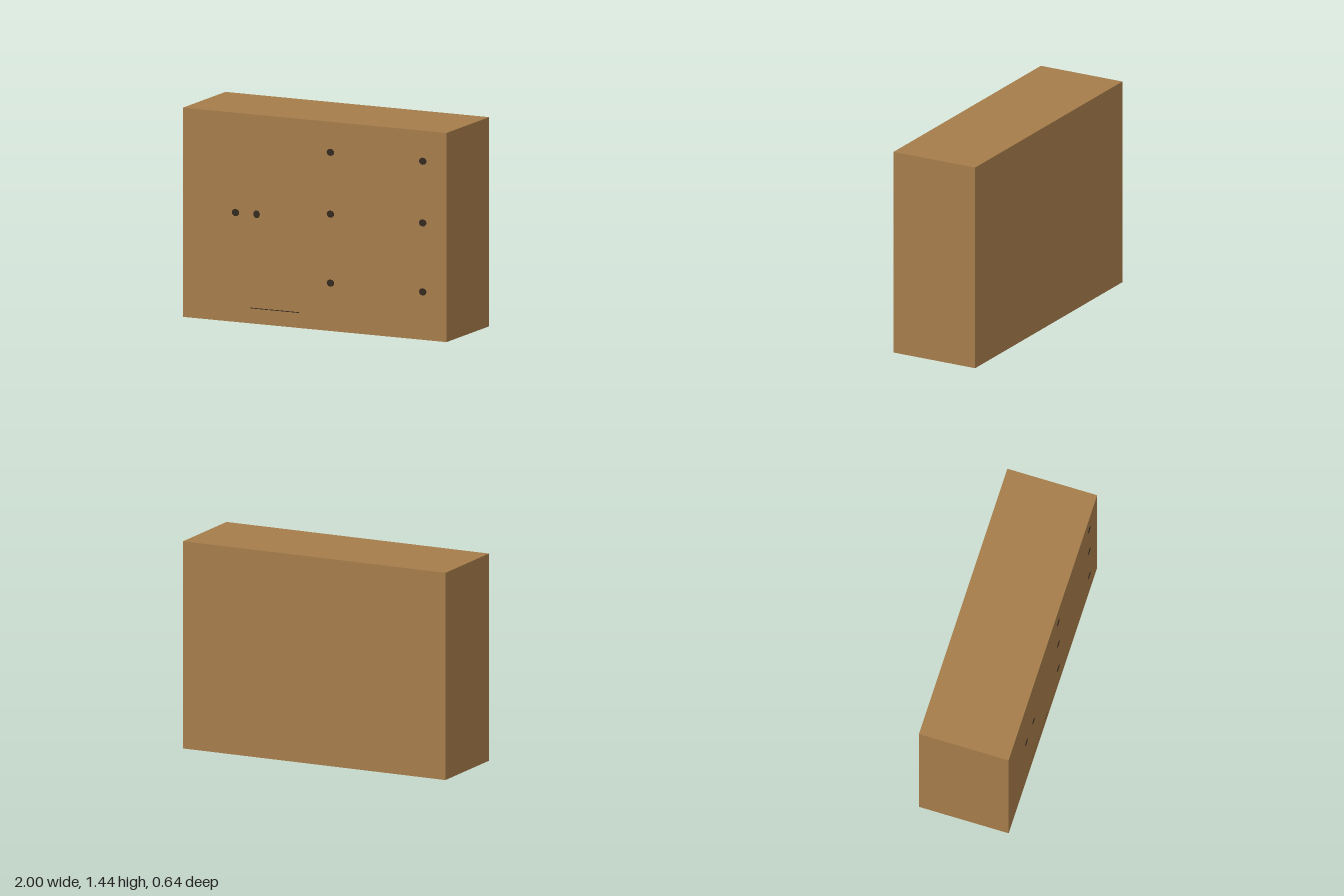
import * as THREE from 'three';

export function createModel() {
  const wood = new THREE.MeshStandardMaterial({ name: 'warm brown wood', color: 0xa57c4a });
  const dark = new THREE.MeshStandardMaterial({ name: 'dark brown', color: 0x33291f });
  const model = new THREE.Group();
  model.name = 'cabinet';

  const width = 2, height = 1.44, depth = 0.636, proud = 0.002;
  const front = depth / 2;

  function add(name, geometry, material, x, y, z) {
    const mesh = new THREE.Mesh(geometry, material);
    mesh.name = name;
    mesh.position.set(x, y, z);
    model.add(mesh);
    return mesh;
  }

  // Solid cabinet body
  add('cabinetBody', new THREE.BoxGeometry(width, height, depth), wood, 0, height / 2, 0);

  // Nearly flush round knobs, slightly wider than tall
  const knob = new THREE.CylinderGeometry(0.028, 0.028, proud * 2, 12).rotateX(Math.PI / 2);
  function addKnob(name, x, y, sx = 1, sy = 0.88) {
    add(name, knob, dark, x, y, front).scale.set(sx, sy, 1);
  }

  // Two columns of drawer knobs
  for (const y of [0.33, 0.805, 1.23])
    for (const x of [0.12, 0.82]) addKnob('drawerKnob', x, y);

  // Pair of door knobs
  addKnob('doorKnobRight', -0.6, 0.753, 1, 0.9);
  addKnob('doorKnobLeft', -0.44, 0.755, 0.86, 0.96);

  // Fine seam near the base, in two lengths
  for (const [x0, x1] of [[-0.485, -0.355], [-0.345, -0.12]])
    add('baseSeam', new THREE.BoxGeometry(x1 - x0, 0.005, proud), dark, (x0 + x1) / 2, 0.106, front);

  return model;
}
